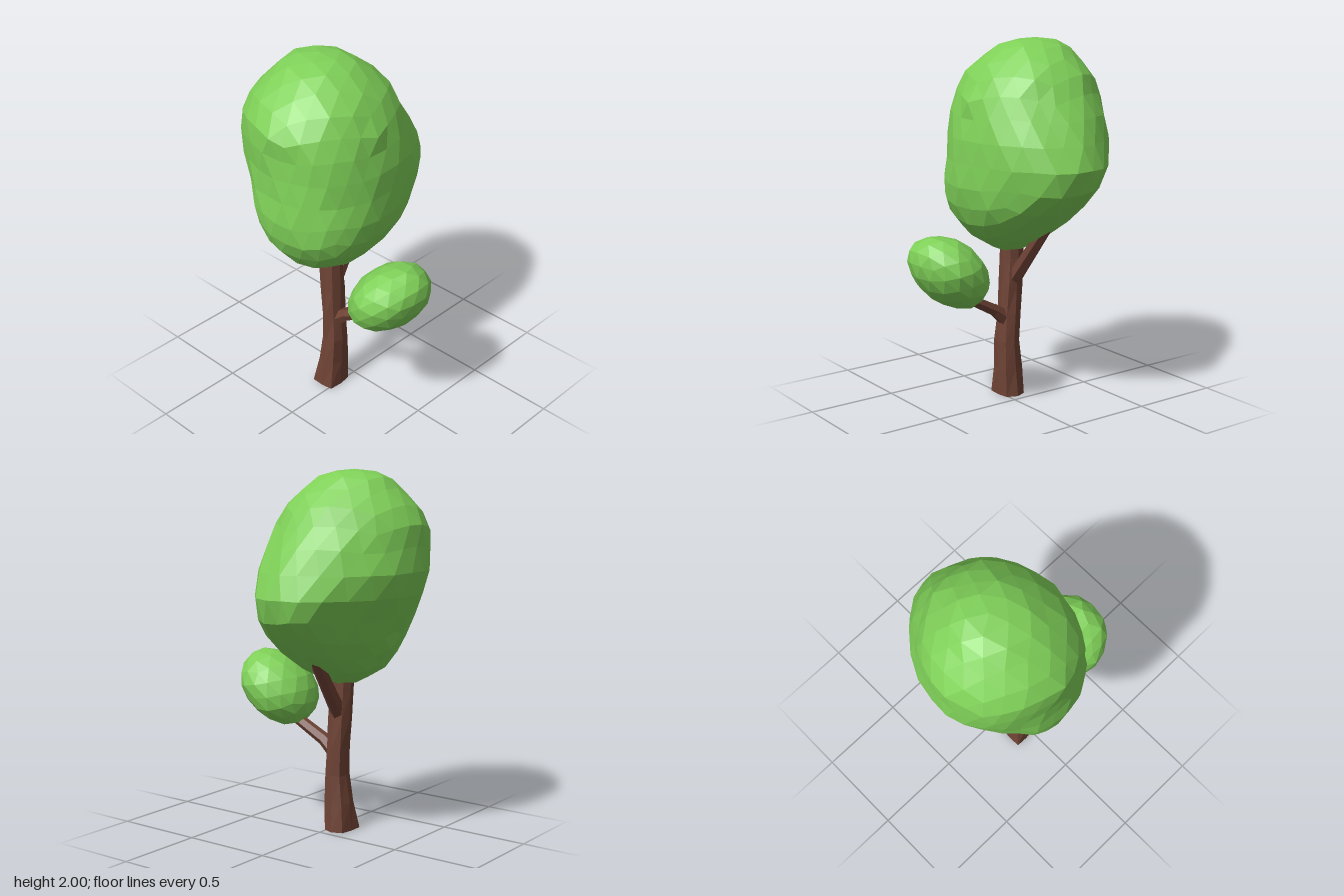
import * as THREE from 'three';
import { mergeVertices } from 'three/addons/utils/BufferGeometryUtils.js';

const bark = new THREE.MeshStandardMaterial({ color: 0x70442f, flatShading: true });
const leaf = new THREE.MeshStandardMaterial({ color: 0x7fd058, flatShading: true });
bark.color.set(0x6f4335);

// Small repeatable unevenness in -1..1
function noise(x, y, z) {
  const s = Math.sin(x * 12.99 + y * 78.23 + z * 37.72) * 437.58;
  return 2 * (s - Math.floor(s)) - 1;
}

// Moves every vertex of a geometry by a rule
function reshape(geometry, rule) {
  const pos = geometry.attributes.position;
  const v = new THREE.Vector3();
  for (let i = 0; i < pos.count; i++) {
    rule(v.fromBufferAttribute(pos, i));
    pos.setXYZ(i, v.x, v.y, v.z);
  }
  geometry.computeVertexNormals();
  return geometry;
}

// Faceted unit ball with shared corners and a corner at each pole
function ball(detail) {
  const g = new THREE.IcosahedronGeometry(1, detail);
  g.deleteAttribute('uv');
  g.deleteAttribute('normal');
  return mergeVertices(g.rotateZ(-0.5536), 1e-4);
}

// Linear lookup in rows sorted by their first number
function sample(rows, y) {
  let i = 0;
  while (i < rows.length - 2 && y > rows[i + 1][0]) i++;
  const a = rows[i], b = rows[i + 1];
  const t = THREE.MathUtils.clamp((y - a[0]) / (b[0] - a[0]), 0, 1);
  return a.map((n, k) => n + (b[k] - n) * t);
}

function add(group, name, geometry, material) {
  const mesh = new THREE.Mesh(geometry, material);
  mesh.name = name;
  group.add(mesh);
  return mesh;
}

// Tapered straight limb between two points
function limb(from, to, r0, r1) {
  const a = new THREE.Vector3(...from), b = new THREE.Vector3(...to);
  const dir = b.clone().sub(a);
  const g = new THREE.CylinderGeometry(r1, r0, dir.length(), 6, 1);
  g.applyQuaternion(new THREE.Quaternion().setFromUnitVectors(
    new THREE.Vector3(0, 1, 0), dir.clone().normalize()));
  const mid = a.add(b).multiplyScalar(0.5);
  return g.translate(mid.x, mid.y, mid.z);
}

// Main crown rows: y, min x, max x, min z, max z
const CROWN = [
  [0.83, -0.12, 0.00, 0.08, 0.20],
  [0.87, -0.20, 0.06, 0.00, 0.29],
  [0.92, -0.28, 0.14, -0.10, 0.38],
  [1.05, -0.37, 0.26, -0.29, 0.48],
  [1.20, -0.44, 0.28, -0.46, 0.52],
  [1.37, -0.54, 0.285, -0.51, 0.49],
  [1.50, -0.575, 0.275, -0.45, 0.49],
  [1.70, -0.565, 0.235, -0.335, 0.50],
  [1.84, -0.48, 0.16, -0.26, 0.415],
  [1.97, -0.36, 0.00, -0.10, 0.24],
  [2.00, -0.26, -0.11, -0.02, 0.11],
];

function crownGeometry() {
  return reshape(ball(4), (v) => {
    const uy = v.y;
    const y = 1.415 + 0.585 * uy;
    const r = Math.hypot(v.x, v.z);
    const cx = -0.12 - 0.06 * uy, cz = 0.1 - 0.04 * uy;
    if (r < 0.01) return v.set(cx, y, cz);
    const c = v.x / r, s = v.z / r;
    const [, x0, x1, z0, z1] = sample(CROWN, y);
    // The back left is flatter, the right side fuller
    const power = 2 / (c < 0 && s < 0 ? 1.75 : c > 0 ? 2.15 : 2);
    const k = 1 + 0.022 * noise(v.x, v.y, v.z);
    const dx = Math.abs(c) ** power * (c < 0 ? x0 - cx : x1 - cx);
    const dz = Math.abs(s) ** power * (s < 0 ? z0 - cz : z1 - cz);
    return v.set(cx + dx * k, y, cz + dz * k);
  });
}

// Trunk rows: y, centre x, centre z, half width x, half width z
const TRUNK = [
  [0.00, -0.05, 0.13, 0.082, 0.095],
  [0.15, -0.045, 0.125, 0.072, 0.078],
  [0.30, -0.035, 0.12, 0.062, 0.068],
  [0.50, -0.045, 0.117, 0.06, 0.065],
  [0.70, -0.06, 0.11, 0.062, 0.064],
  [0.95, -0.07, 0.11, 0.068, 0.062],
];

function trunkGeometry() {
  return reshape(new THREE.CylinderGeometry(1, 1, 0.95, 8, 6), (v) => {
    const y = v.y + 0.475;
    const [, cx, cz, rx, rz] = sample(TRUNK, y);
    const side = Math.round(Math.atan2(v.z, v.x) / (Math.PI / 4));
    // Root flutes fade with height
    const flute = (side % 2 ? 0.12 : -0.08) * (1 - y);
    const k = 1 + flute + 0.09 * noise(((side + 8) % 8) * 0.3, Math.round(y * 100) / 100, 1);
    v.set(cx + v.x * rx * k, y, cz + v.z * rz * k);
  });
}

export function createModel() {
  const tree = new THREE.Group();
  tree.name = 'tree';

  add(tree, 'trunk', trunkGeometry(), bark);
  add(tree, 'sideBranchBase', limb([-0.04, 0.43, 0.115], [0.06, 0.51, 0.11], 0.05, 0.036), bark);
  add(tree, 'sideBranch', limb([0.03, 0.49, 0.112], [0.28, 0.625, 0.1], 0.037, 0.03), bark);
  add(tree, 'backBranch', limb([-0.06, 0.66, 0.1], [-0.1, 1.08, -0.22], 0.045, 0.032), bark);

  add(tree, 'mainCrown', crownGeometry(), leaf);

  // Small tilted crown on the side branch
  const small = reshape(ball(2), (v) => {
    const k = 1.015 + 0.025 * noise(v.x, v.y, v.z);
    v.set(v.x * 0.243 * k, v.y * 0.167 * k, v.z * 0.23 * k);
  });
  const smallCrown = add(tree, 'smallCrown', small, leaf);
  smallCrown.rotation.z = 0.73;
  smallCrown.position.set(0.36, 0.77, 0.103);

  return tree;
}
